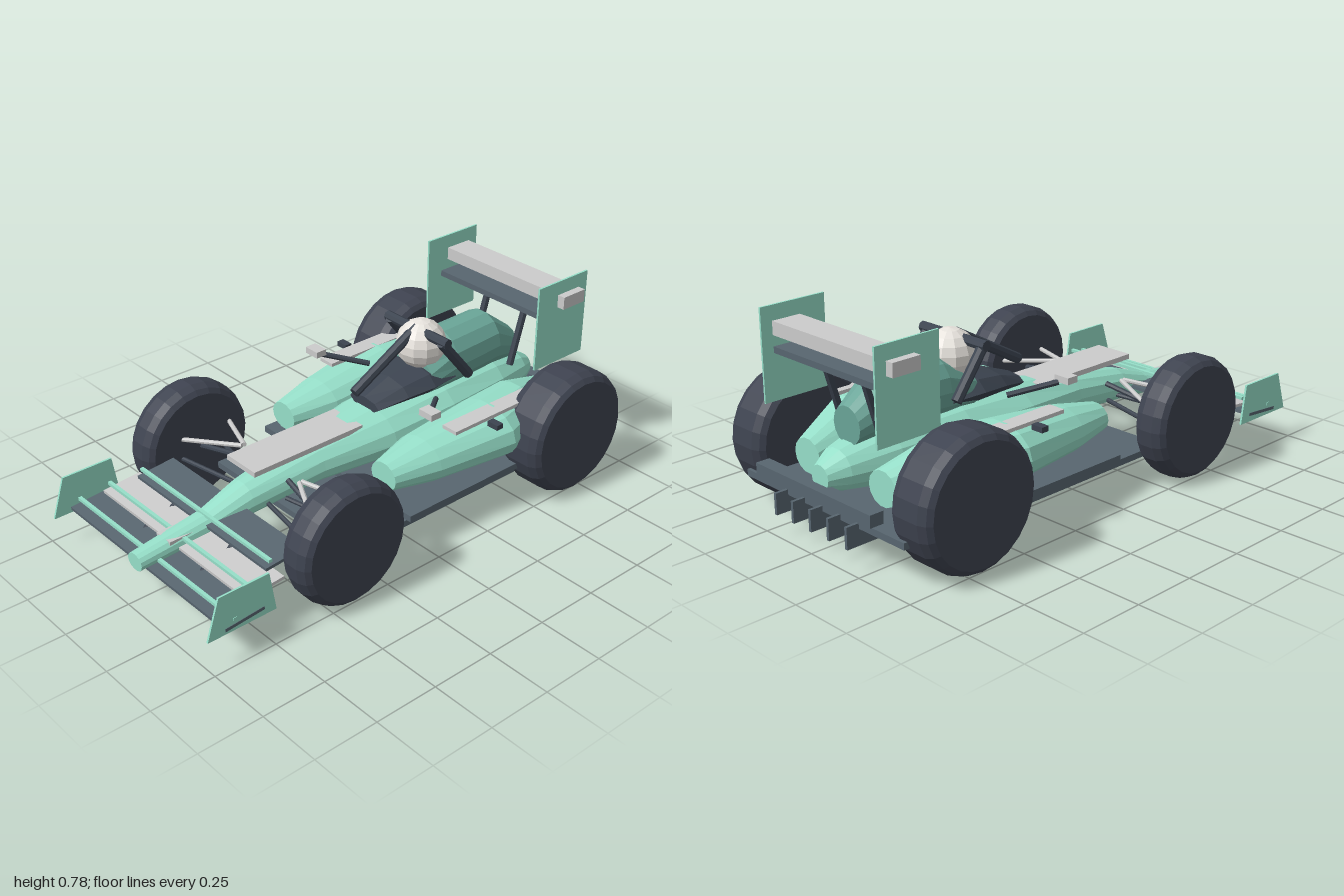
import * as THREE from 'three';

const paint = (color, double) => new THREE.MeshStandardMaterial({
  color, flatShading: true, side: double ? THREE.DoubleSide : THREE.FrontSide });
const teal = paint(0x96dfc9);
const deepTeal = paint(0x6aa598);
const carbon = paint(0x586670);
const black = paint(0x3c4450);
const rubber = paint(0x3e4350);
const grey = paint(0xcccccc);
const white = paint(0xe8e4de);

export function createModel() {
  const car = new THREE.Group();
  car.name = 'openWheelRaceCar';

  const add = (name, geometry, material, x = 0, y = 0, z = 0) => {
    const mesh = new THREE.Mesh(geometry, material);
    mesh.name = name;
    mesh.position.set(x, y, z);
    car.add(mesh);
    return mesh;
  };

  // Box given by its extents in x, y and z
  const box = (name, material, x0, x1, y0, y1, z0, z1) =>
    add(name, new THREE.BoxGeometry(x1 - x0, y1 - y0, z1 - z0), material,
      (x0 + x1) / 2, (y0 + y1) / 2, (z0 + z1) / 2);

  // Round bar between two points
  const rod = (name, material, a, b, radius, sides = 8) => {
    const p = new THREE.Vector3(...a), q = new THREE.Vector3(...b);
    const mesh = add(name, new THREE.CylinderGeometry(radius, radius, p.distanceTo(q), sides), material);
    mesh.position.copy(p).lerp(q, 0.5);
    mesh.quaternion.setFromUnitVectors(new THREE.Vector3(0, 1, 0), q.sub(p).normalize());
    return mesh;
  };

  // Capped body through elliptical sections [z, centreX, centreY, radiusX, radiusY], front to back
  const loft = (name, material, sections, sides = 14) => {
    const pos = [], index = [];
    for (const [z, cx, cy, rx, ry] of sections) {
      for (let j = 0; j < sides; j++) {
        const t = j / sides * Math.PI * 2;
        pos.push(cx + rx * Math.cos(t), cy + ry * Math.sin(t), z);
      }
    }
    const last = sections.length - 1;
    for (const s of [0, last]) pos.push(sections[s][1], sections[s][2], sections[s][0]);
    const front = sections.length * sides, back = front + 1;
    for (let j = 0; j < sides; j++) {
      const k = (j + 1) % sides;
      for (let i = 0; i < last; i++) {
        const a = i * sides + j, b = i * sides + k, c = a + sides, d = b + sides;
        index.push(a, c, b, b, c, d);
      }
      index.push(front, j, k, back, last * sides + k, last * sides + j);
    }
    const g = new THREE.BufferGeometry();
    g.setAttribute('position', new THREE.Float32BufferAttribute(pos, 3));
    g.setIndex(index);
    const flat = g.toNonIndexed();
    flat.computeVertexNormals();
    return add(name, flat, material);
  };

  // Thin upright plate from [z, y] corners
  const plate = (name, x, corners, thickness) => {
    const shape = new THREE.Shape(corners.map(([z, y]) => new THREE.Vector2(-z, y)));
    const g = new THREE.ExtrudeGeometry(shape, { depth: thickness, bevelEnabled: false });
    g.translate(0, 0, -thickness / 2).rotateY(Math.PI / 2);
    return add(name, g, teal, x);
  };

  // Tyre with chamfered shoulders, axle along x
  const wheel = (name, x, z, r, width) => {
    const h = width / 2;
    const profile = [[0, -h], [r - 0.03, -h], [r - 0.012, -h + 0.015], [r, -h + 0.045],
      [r, h - 0.045], [r - 0.012, h - 0.015], [r - 0.03, h], [0, h]];
    const g = new THREE.LatheGeometry(profile.map(p => new THREE.Vector2(...p)), 24);
    g.rotateZ(Math.PI / 2);
    add(name, g, rubber, x, r, z);
  };

  // Central body, engine cover and cockpit
  loft('mainBody', teal, [
    [0.96, 0, 0.16, 0.042, 0.033], [0.66, 0, 0.19, 0.055, 0.045], [0.5, 0, 0.225, 0.075, 0.065],
    [0.2, 0, 0.265, 0.11, 0.08], [-0.1, 0, 0.28, 0.165, 0.105], [-0.4, 0, 0.285, 0.175, 0.12],
    [-0.7, 0, 0.28, 0.14, 0.11], [-0.88, 0, 0.27, 0.085, 0.075], [-0.95, 0, 0.26, 0.045, 0.045]]);
  loft('engineCover', deepTeal, [
    [-0.33, 0, 0.43, 0.11, 0.08], [-0.46, 0, 0.46, 0.115, 0.12],
    [-0.69, 0, 0.47, 0.11, 0.115], [-0.83, 0, 0.41, 0.07, 0.07]]);
  loft('cockpitSurround', black, [
    [-0.08, 0, 0.395, 0.08, 0.025], [-0.2, 0, 0.42, 0.115, 0.045],
    [-0.32, 0, 0.43, 0.135, 0.055], [-0.45, 0, 0.42, 0.11, 0.04]], 8);
  add('helmet', new THREE.SphereGeometry(0.098, 12, 9), white, 0, 0.55, -0.365);
  box('nosePanel', grey, -0.08, 0.08, 0.345, 0.365, 0, 0.5);
  box('noseTipPanel', grey, -0.04, 0.04, 0.192, 0.206, 0.69, 0.84);

  // Driver protection frame
  rod('frameCentreStrut', black, [0, 0.455, -0.03], [0, 0.625, -0.34], 0.02);
  rod('frameCrossBar', black, [-0.165, 0.612, -0.345], [0.165, 0.612, -0.345], 0.02);

  // Floor and diffuser
  box('lowerFloor', carbon, -0.385, 0.385, 0.1, 0.125, -0.87, 0.33);
  box('upperFloor', carbon, -0.42, 0.42, 0.14, 0.165, -0.95, 0.07);
  box('rearBeam', carbon, -0.305, 0.305, 0.19, 0.235, -0.99, -0.935);
  for (let i = -2; i <= 2; i++)
    box('diffuserFin', carbon, i * 0.095 - 0.006, i * 0.095 + 0.006, 0.08, 0.16, -1, -0.86);

  // Three stepped front wing planes, each with a thin painted strip
  const frontPlanes = [
    ['frontWingMainPlane', carbon, 0.472, 0.138, 0.85, 0.89],
    ['frontWingMiddlePlane', grey, 0.427, 0.177, 0.73, 0.782],
    ['frontWingUpperPlane', carbon, 0.38, 0.212, 0.61, 0.67]];
  for (const [name, material, half, y, z, stripZ] of frontPlanes) {
    const plane = box(name, material, -half, half, y - 0.006, y + 0.006, z - 0.08, z + 0.08);
    plane.rotation.x = 0.08;
    box('frontWingStrip', teal, -half, half, y + 0.015, y + 0.027, stripZ - 0.007, stripZ + 0.007);
  }

  // Rear wing planes
  box('rearWingMainPlane', grey, -0.33, 0.33, 0.675, 0.725, -0.9, -0.785);
  box('rearWingLowerPlane', carbon, -0.29, 0.29, 0.612, 0.635, -0.9, -0.75);

  // Everything mirrored left and right
  for (const s of [1, -1]) {
    wheel('frontWheel', s * 0.45, 0.405, 0.235, 0.14);
    wheel('rearWheel', s * 0.435, -0.705, 0.248, 0.19);

    loft('sidepod', teal, [
      [0.08, s * 0.285, 0.275, 0.065, 0.055], [-0.1, s * 0.285, 0.28, 0.115, 0.085],
      [-0.42, s * 0.305, 0.295, 0.155, 0.105], [-0.62, s * 0.26, 0.29, 0.125, 0.1],
      [-0.85, s * 0.2, 0.25, 0.07, 0.065]]);
    const px = s * 0.345;
    box('sidepodPanel', grey, px - 0.035, px + 0.035, 0.383, 0.397, -0.635, -0.185);
    box('sidepodStub', black, s * 0.42 - 0.025, s * 0.42 + 0.025, 0.375, 0.395, -0.36, -0.33);

    rod('frameSideStrut', black, [s * 0.14, 0.612, -0.335], [s * 0.15, 0.44, -0.475], 0.02);

    const mx = s * 0.317;
    box('mirror', grey, mx - 0.033, mx + 0.033, 0.464, 0.489, -0.135, -0.088);
    rod('mirrorArm', black, [s * 0.185, 0.42, -0.27], [s * 0.3, 0.463, -0.13], 0.011);

    // Front suspension
    rod('upperWishboneFront', grey, [s * 0.165, 0.312, 0.37], [s * 0.4, 0.28, 0.49], 0.009);
    rod('upperWishboneRear', grey, [s * 0.165, 0.312, 0.36], [s * 0.4, 0.28, 0.26], 0.009);
    rod('lowerWishboneFront', black, [s * 0.07, 0.21, 0.44], [s * 0.4, 0.2, 0.49], 0.009);
    rod('lowerWishboneRear', black, [s * 0.09, 0.21, 0.37], [s * 0.4, 0.2, 0.3], 0.009);
    rod('pushRod', black, [s * 0.09, 0.28, 0.36], [s * 0.4, 0.22, 0.4], 0.011);

    // Wing supports and end plates
    rod('frontWingSupport', black, [s * 0.17, 0.12, 0.86], [s * 0.17, 0.2, 0.62], 0.011);
    rod('rearWingSupport', black, [s * 0.1, 0.36, -0.76], [s * 0.1, 0.63, -0.84], 0.014);
    plate('frontEndPlate', s * 0.466,
      [[1, 0.115], [0.72, 0.115], [0.745, 0.27], [0.95, 0.27]], 0.008);
    plate('rearEndPlate', s * 0.295,
      [[-0.68, 0.44], [-0.945, 0.44], [-0.945, 0.78], [-0.68, 0.78]], 0.008);
  }
  return car;
}
